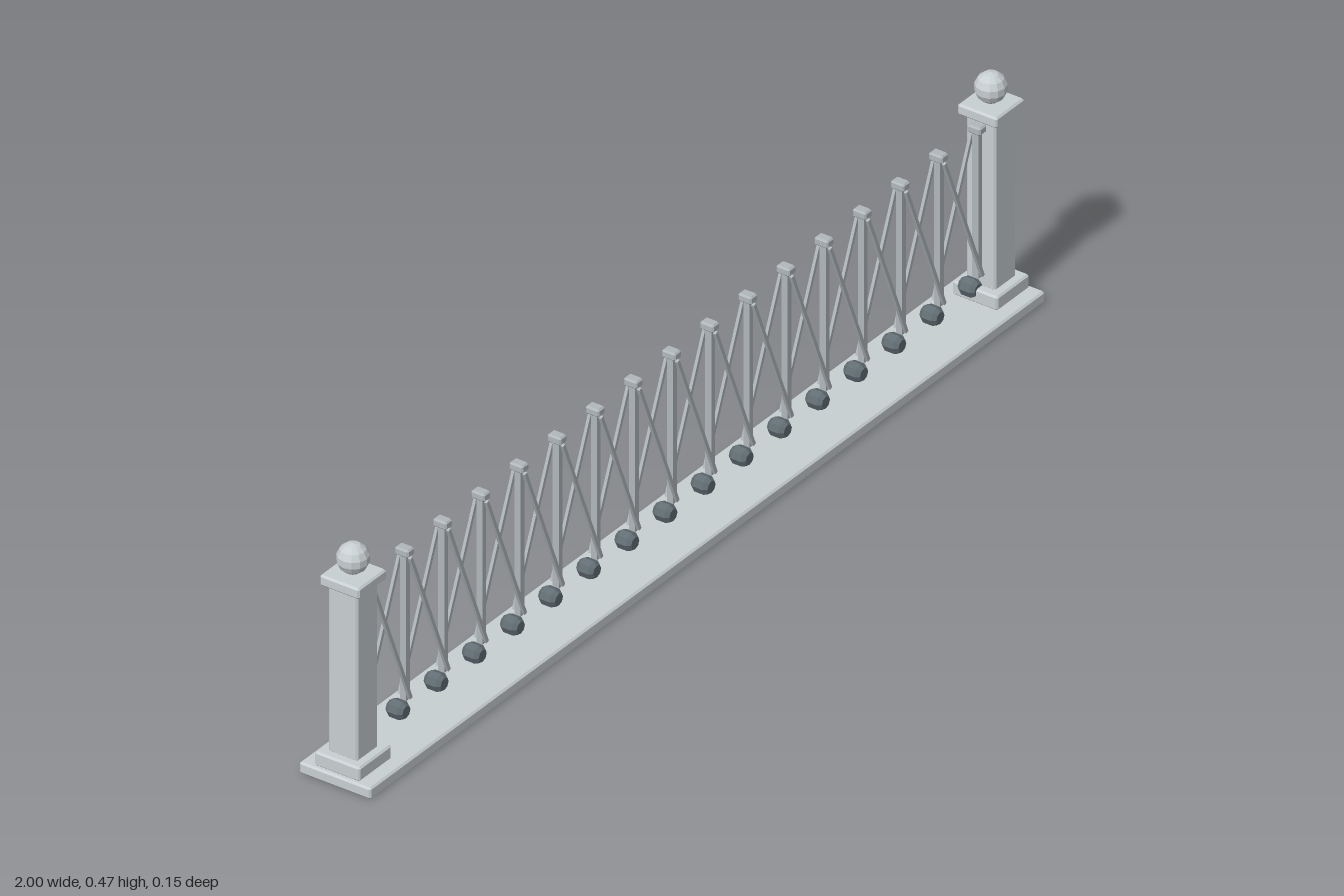
import * as THREE from 'three';

// Box with flat chamfers on every edge, centred on the origin
function chamferBox(w, h, d, c) {
  const x = w / 2, y = d / 2;
  const outline = new THREE.Shape([
    [x - c, -y], [x, -y + c], [x, y - c], [x - c, y],
    [-x + c, y], [-x, y - c], [-x, -y + c], [-x + c, -y],
  ].map(([a, b]) => new THREE.Vector2(a, b)));
  return new THREE.ExtrudeGeometry(outline, {
    depth: h - 2 * c, bevelEnabled: true, bevelSegments: 1,
    bevelThickness: c, bevelSize: c, bevelOffset: -c,
  }).translate(0, 0, c - h / 2).rotateX(-Math.PI / 2);
}

export function createModel() {
  const model = new THREE.Group();
  const makeMaterial = (name, color) => {
    const material = new THREE.MeshStandardMaterial({ color, flatShading: true });
    material.name = name;
    return material;
  };
  const stone = makeMaterial('pale stone', 0xc8cfd2);
  const metal = makeMaterial('grey metal', 0xb0b7bb);
  const dark = makeMaterial('dark metal', 0x626e74);

  const add = (parent, name, geometry, material, x, y, z) => {
    const mesh = new THREE.Mesh(geometry, material);
    mesh.name = name;
    mesh.position.set(x, y, z);
    parent.add(mesh);
    return mesh;
  };
  // Stone block placed by its bottom and top heights
  const block = (parent, name, w, d, y0, y1) =>
    add(parent, name, chamferBox(w, y1 - y0, d, 0.0035), stone, 0, (y0 + y1) / 2, 0);

  // Long ground slab
  block(model, 'baseSlab', 2, 0.152, 0, 0.023);

  // End pillars with stepped foot, cap and ball finial
  for (const side of [-1, 1]) {
    const pillar = new THREE.Group();
    pillar.name = side > 0 ? 'leftPillar' : 'rightPillar';
    pillar.position.x = side * 0.945;
    block(pillar, 'pillarFoot', 0.096, 0.096, 0.022, 0.051);
    block(pillar, 'pillarShaft', 0.062, 0.062, 0.048, 0.389);
    block(pillar, 'pillarCap', 0.084, 0.084, 0.388, 0.41);
    add(pillar, 'pillarBall', new THREE.SphereGeometry(0.03, 12, 7), stone, 0, 0.439, 0);
    model.add(pillar);
  }

  // Balusters, each with a head block and a round foot with bevelled ends
  const count = 17, step = 0.113;
  const postX = (i) => (i - (count - 1) / 2) * step;
  const postGeo = new THREE.BoxGeometry(0.011, 0.297, 0.013);
  const headGeo = chamferBox(0.021, 0.016, 0.029, 0.003);
  const footProfile = [[0, -0.018], [0.012, -0.018], [0.018, -0.01], [0.018, 0.01], [0.012, 0.018], [0, 0.018]];
  const footGeo = new THREE.LatheGeometry(footProfile.map(([r, y]) => new THREE.Vector2(r, y)), 8)
    .rotateX(Math.PI / 2);
  for (let i = 0; i < count; i++) {
    add(model, 'baluster', postGeo, metal, postX(i), 0.222, 0);
    add(model, 'balusterHead', headGeo, metal, postX(i), 0.375, -0.001);
    add(model, 'balusterFoot', footGeo, dark, postX(i), 0.047, -0.015);
  }

  // Crossed braces: one slope behind the balusters, the other in front
  const rise = 0.285;
  const braceGeo = new THREE.BoxGeometry(0.007, Math.hypot(step, rise), 0.006);
  for (let i = 0; i < count - 1; i++) {
    for (const s of [-1, 1]) {
      const brace = add(model, s > 0 ? 'frontBrace' : 'backBrace', braceGeo, metal,
        postX(i) + step / 2, 0.222, s * 0.011);
      brace.rotation.z = s * Math.atan2(step, rise);
    }
  }
  return model;
}
